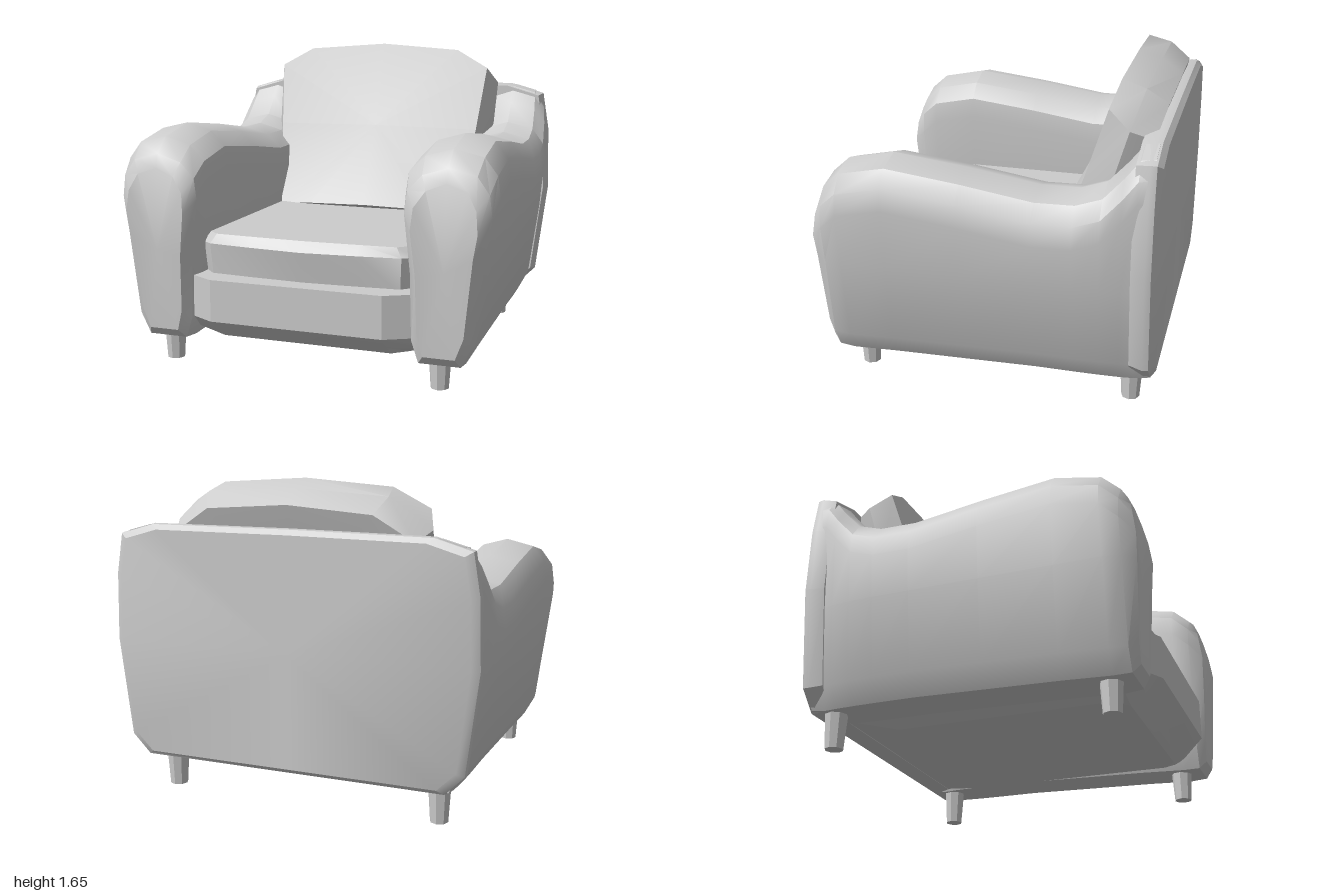
import * as THREE from 'three';
import { toCreasedNormals } from 'three/addons/utils/BufferGeometryUtils.js';

const upholstery = new THREE.MeshStandardMaterial({ color: 0xcccccc });
upholstery.name = 'grey upholstery';

// Closed solid through rings of points; rings run counterclockwise seen from the first ring's end.
function loft(name, rings, crease = 0.6) {
  const n = rings[0].length, pos = [], index = [];
  rings.forEach(r => r.forEach(p => pos.push(...p)));
  for (let k = 0; k < rings.length - 1; k++) {
    for (let i = 0; i < n; i++) {
      const j = (i + 1) % n, a = k * n, b = a + n;
      index.push(a + i, b + i, b + j, a + i, b + j, a + j);
    }
  }
  [0, rings.length - 1].forEach(k => {
    const centre = pos.length / 3, box = new THREE.Box3();
    rings[k].forEach(p => box.expandByPoint(new THREE.Vector3(...p)));
    pos.push(...box.getCenter(new THREE.Vector3()).toArray());
    for (let i = 0; i < n; i++) {
      const a = k * n + i, b = k * n + (i + 1) % n;
      index.push(centre, k ? b : a, k ? a : b);
    }
  });
  const g = new THREE.BufferGeometry();
  g.setAttribute('position', new THREE.Float32BufferAttribute(pos, 3));
  g.setIndex(index);
  const mesh = new THREE.Mesh(toCreasedNormals(g, crease), upholstery);
  mesh.name = name;
  return mesh;
}

// Right half of an outline, completed by its mirror image
const mirrored = half => [...half, ...half.filter(p => p[0] > 0).reverse().map(([x, y]) => [-x, y])];
const upright = (half, z) => mirrored(half).map(([x, y]) => [x, y, z]);
const level = (half, y) => mirrored(half).map(([x, z]) => [x, y, z]);

// Rolled arm, lofted from front to back
function arm(side) {
  const stations = [ // z, top, bottom, width factor
    [0.88, 1.05, 0.2, 0.7], [0.81, 1.12, 0.155, 0.92], [0.72, 1.2, 0.15, 1], [0.48, 1.25, 0.16, 1],
    [0.1, 1.205, 0.17, 1], [-0.27, 1.15, 0.18, 1], [-0.47, 1.155, 0.18, 1], [-0.6, 1.2, 0.18, 0.98],
    [-0.7, 1.31, 0.18, 0.93], [-0.77, 1.4, 0.18, 0.86], [-0.84, 1.41, 0.19, 0.84]
  ];
  const rings = stations.map(([z, t, b, w], k) => {
    const ring = [
      [0.85, b], [0.91, b + 0.11], [0.97, 0.7], [1, t - 0.23], [0.985, t - 0.12], [0.92, t - 0.035],
      [0.77, t], [0.63, t - 0.04], [0.55, t - 0.12], [0.535, t - 0.23], [0.57, 0.6], [0.58, b + 0.11], [0.62, b]
    ].map(([x, y]) => {
      const lean = k ? 0 : y > 0.85 ? 0.2 * (y - 0.85) : 0.05 * (0.85 - y);
      return [side * (0.755 + (x - 0.755) * w), y, z - lean];
    });
    return side > 0 ? ring : ring.reverse();
  });
  return loft(side > 0 ? 'leftArm' : 'rightArm', rings, 0.55);
}

// Wide rear panel with softened rim
function backPanel() {
  const half = [[0, 0.18], [0.82, 0.18], [0.92, 0.28], [0.985, 0.8], [0.975, 1.15], [0.94, 1.36], [0.75, 1.415], [0, 1.42]];
  const shrink = s => half.map(([x, y]) => [x * s, 0.8 + (y - 0.8) * s]);
  return loft('backPanel', [
    upright(shrink(0.98), -0.75), upright(half, -0.82), upright(shrink(0.995), -0.85), upright(shrink(0.955), -0.875)
  ]);
}

// Base with chamfered front corners and sloped underside
function base() {
  const plan = (zf, x1, x2, zb) => [[0, zf], [x1, zf], [x2, zf - 0.07], [x2, zb], [0, zb]];
  return loft('base', [
    level(plan(0.865, 0.46, 0.59, -0.78), 0.49), level(plan(0.865, 0.46, 0.59, -0.78), 0.27),
    level(plan(0.77, 0.46, 0.64, -0.78), 0.2), level(plan(0.7, 0.46, 0.54, -0.5), 0.15)
  ], 0.3);
}

// Loose seat cushion with a bowed front
function seatCushion() {
  const plan = (z0, z1, z2, x) => [[0, z0], [0.3, (z0 + z1) / 2], [x - 0.06, z1], [x, z2], [x, -0.5], [0, -0.5]];
  return loft('seatCushion', [
    level(plan(0.735, 0.715, 0.66, 0.55), 0.7), level(plan(0.785, 0.735, 0.69, 0.58), 0.65),
    level(plan(0.75, 0.72, 0.66, 0.57), 0.47)
  ], 0.5);
}

// Reclined back cushion, bowed forward at the bottom
function backCushion() {
  const outlines = [
    [0, [[0, 0], [0.35, 0], [0.55, 0], [0.61, 0.5], [0.645, 0.87], [0.46, 0.975], [0, 1.01]]],
    [-0.13, [[0, -0.02], [0.35, -0.02], [0.57, -0.02], [0.68, 0.5], [0.69, 0.83], [0.48, 0.99], [0, 1.02]]],
    [-0.26, [[0, 0], [0.35, 0], [0.54, 0], [0.62, 0.5], [0.64, 0.83], [0.44, 0.96], [0, 0.995]]]
  ];
  const mesh = loft('backCushion', outlines.map(([n, half]) =>
    mirrored(half).map(([x, u]) => [x, u, n - 0.25 * x * x * (1 - u)])), 0.6);
  mesh.position.set(0, 0.72, -0.22);
  mesh.rotation.x = -0.4;
  return mesh;
}

export function createModel() {
  const chair = new THREE.Group();
  chair.name = 'armchair';
  chair.add(arm(1), arm(-1), backPanel(), base(), seatCushion(), backCushion());

  // Tapered legs
  const legGeometry = toCreasedNormals(new THREE.CylinderGeometry(0.063, 0.047, 0.24, 8), 0.3);
  for (const x of [-0.76, 0.71]) {
    for (const z of [0.69, -0.74]) {
      const leg = new THREE.Mesh(legGeometry, upholstery);
      leg.name = z > 0 ? 'frontLeg' : 'backLeg';
      leg.position.set(x, 0.12, z);
      chair.add(leg);
    }
  }
  return chair;
}
